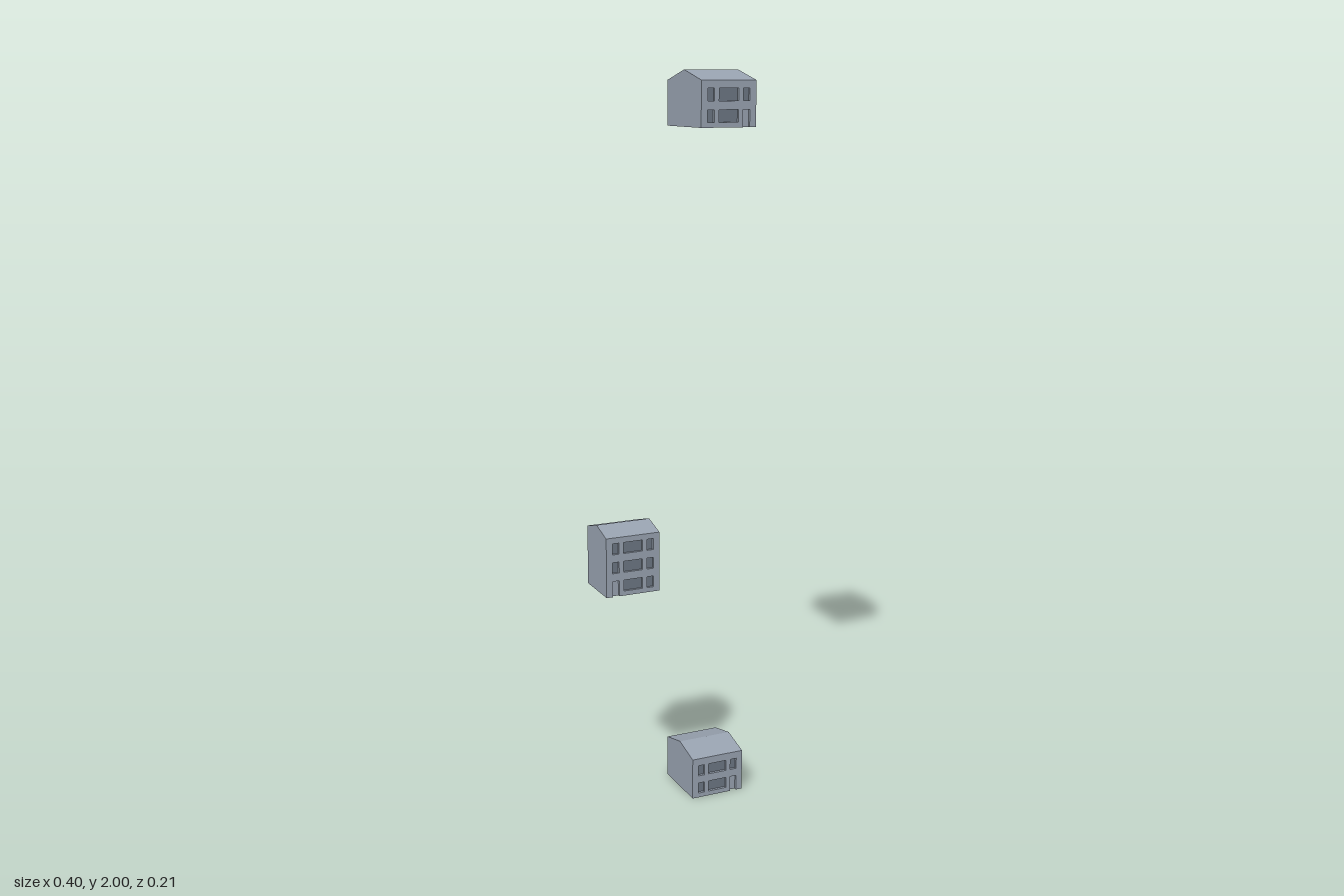
import * as THREE from 'three';

const WIDTH = 0.155;   // house width
const RECESS = 0.008;  // depth of window and door recesses
const SILL = 0.013, PITCH = 0.053, PANE_H = 0.031;
// window columns as [left, right], measured from the house's -x side
const COLUMNS = [[0.018, 0.037], [0.05, 0.105], [0.118, 0.137]];

const wallMaterial = new THREE.MeshStandardMaterial({ color: 0x98a2b0, flatShading: true });
const paneMaterial = new THREE.MeshStandardMaterial({ color: 0x6c7682 });

function add(group, name, geometry, material) {
  const mesh = new THREE.Mesh(geometry, material);
  mesh.name = name;
  group.add(mesh);
  return mesh;
}

function polygon(points) {
  return new THREE.Shape(points.map(([x, y]) => new THREE.Vector2(x, y)));
}

function createHouse({ name, x, y, back, front, wall, top, floors, doorColumn }) {
  const house = new THREE.Group();
  house.name = name;
  house.position.set(x, y, 0);
  const inner = front - RECESS;

  // gabled body and roof: side profile extruded across the width
  const profile = polygon([
    [-inner, 0], [-back, 0], [-back, wall], [-(back + front) / 2, top],
    [-front, wall], [-inner, wall],
  ]);
  const body = new THREE.ExtrudeGeometry(profile, { depth: WIDTH, bevelEnabled: false });
  body.rotateY(Math.PI / 2); // profile x becomes -z, depth becomes +x
  add(house, 'bodyAndRoof', body, wallMaterial);

  // front wall with a door notch in its lower edge
  const [d0, d1] = COLUMNS[doorColumn];
  const doorTop = SILL + PANE_H;
  const facade = polygon([
    [0, 0], [d0, 0], [d0, doorTop], [d1, doorTop], [d1, 0],
    [WIDTH, 0], [WIDTH, wall], [0, wall],
  ]);

  // window openings and their recessed panes
  for (let floor = 0; floor < floors; floor++) {
    COLUMNS.forEach(([x0, x1], column) => {
      if (floor === 0 && column === doorColumn) return;
      const y0 = SILL + floor * PITCH, y1 = y0 + PANE_H;
      facade.holes.push(polygon([[x0, y0], [x0, y1], [x1, y1], [x1, y0]]));
      const pane = add(house, 'windowPane', new THREE.PlaneGeometry(x1 - x0, PANE_H), paneMaterial);
      pane.position.set((x0 + x1) / 2, (y0 + y1) / 2, inner + 0.0006);
    });
  }
  const frontWall = new THREE.ExtrudeGeometry(facade, { depth: RECESS, bevelEnabled: false });
  add(house, 'frontWall', frontWall, wallMaterial).position.z = inner;
  return house;
}

export function createModel() {
  const model = new THREE.Group();
  model.name = 'houses';
  const back = -0.103;
  model.add(
    createHouse({ name: 'deepHouse', x: 0.043, y: 1.857, back, front: 0.103, wall: 0.117, top: 0.143, floors: 2, doorColumn: 2 }),
    createHouse({ name: 'tallHouse', x: -0.198, y: 0.622, back, front: 0.034, wall: 0.166, top: 0.186, floors: 3, doorColumn: 0 }),
    createHouse({ name: 'lowHouse', x: 0.043, y: 0, back, front: 0.069, wall: 0.118, top: 0.139, floors: 2, doorColumn: 2 }),
  );
  return model;
}
